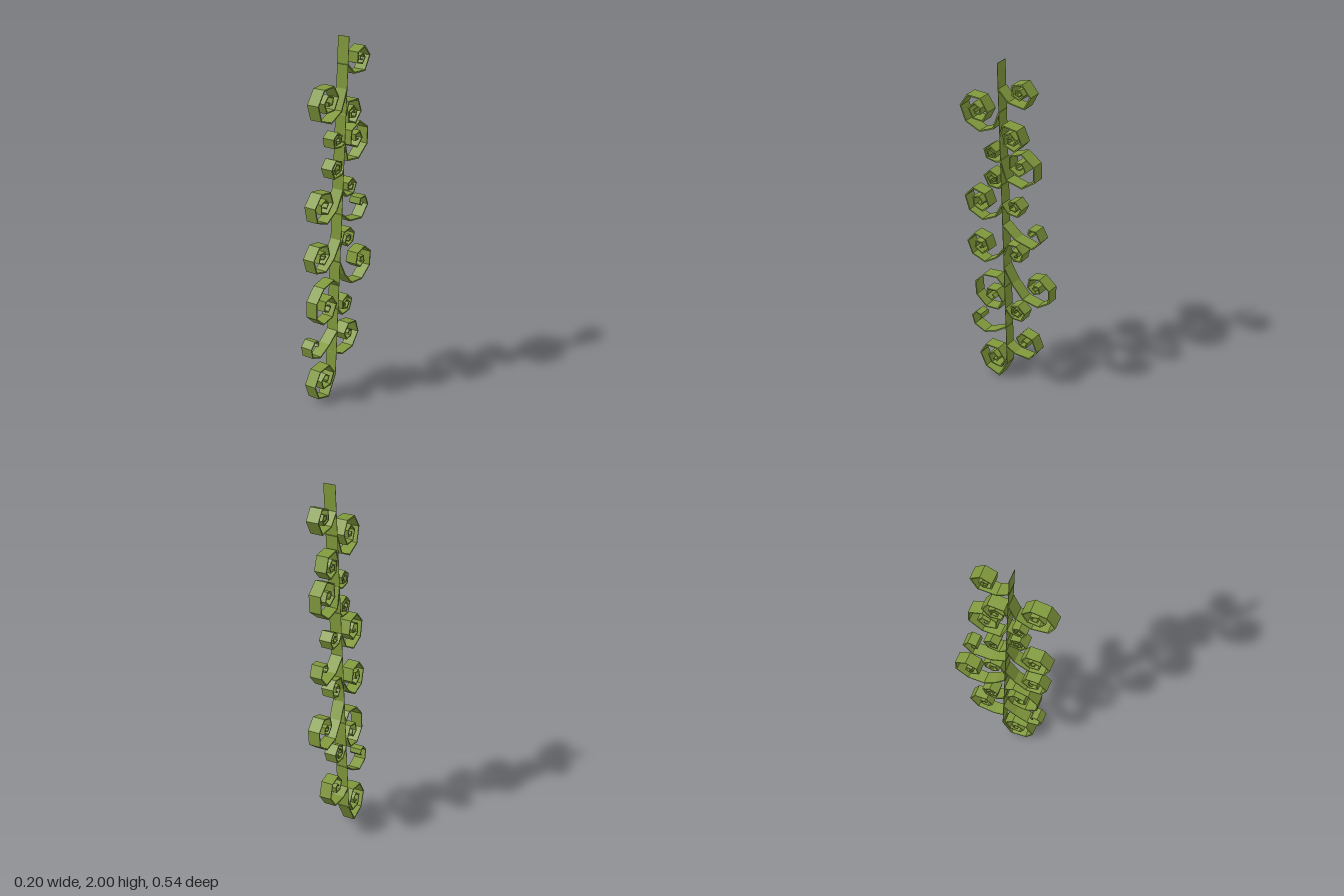
import * as THREE from 'three';

const WIDTH = 0.066;
const rad = THREE.MathUtils.degToRad;

// Ribbon: a flat path thickened with mitred corners, then extruded to the strip width
function ribbon(path, thickness, material, name) {
  const left = [], right = [];
  path.forEach((p, i) => {
    const a = path[Math.max(i - 1, 0)], b = path[Math.min(i + 1, path.length - 1)];
    const inDir = (i > 0 ? p.clone().sub(a) : b.clone().sub(p)).normalize();
    const outDir = (i < path.length - 1 ? b.clone().sub(p) : inDir.clone()).normalize();
    const n = inDir.clone().add(outDir).normalize();
    n.set(-n.y, n.x);
    const cosHalf = Math.max(0.5, Math.abs(n.x * -inDir.y + n.y * inDir.x));
    n.multiplyScalar(thickness / 2 / cosHalf);
    left.push(p.clone().add(n));
    right.unshift(p.clone().sub(n));
  });
  const shape = new THREE.Shape([...left, ...right]);
  const geometry = new THREE.ExtrudeGeometry(shape, { depth: WIDTH, bevelEnabled: false });
  geometry.translate(0, 0, -WIDTH / 2);
  const mesh = new THREE.Mesh(geometry, material);
  mesh.name = name;
  return mesh;
}

// Path of a curl: from the stem, then an angular spiral whose radius shrinks and whose turns sharpen
function curlPath(side, [y0, cu, cy, r0, a0, s0, s1, n, power]) {
  const points = [new THREE.Vector2(0, y0)];
  const r1 = 0.013;
  let angle = a0;
  for (let i = 0; i <= n; i++) {
    const t = i / n;
    const r = r1 + (r0 - r1) * Math.pow(1 - t, power);
    const u = cu + r * Math.cos(rad(angle));
    points.push(new THREE.Vector2(side * u, cy + r * Math.sin(rad(angle))));
    angle += s0 + (s1 - s0) * t;
  }
  return points;
}

// Each curl: stem height, centre (outward, up), start radius, start angle,
// first and last turn in degrees, number of turns, shrink power
const frontCurls = [
  [1.733, 0.140, 1.698, 0.123, 215, 46, 82, 14, 1.15],
  [1.450, 0.058, 1.482, 0.050, 240, 66, 80, 10, 1.2],
  [1.310, 0.055, 1.330, 0.060, 230, 66, 79, 11, 1.2],
  [1.193, 0.147, 1.154, 0.115, 209, 50, 80, 13, 1.15],
  [0.913, 0.152, 0.872, 0.108, 203, 50, 86, 12, 1.15],
  [0.655, 0.088, 0.560, 0.148, 105, -36, -88, 12, 1.25],
  [0.383, 0.180, 0.372, 0.123, 201, 47, 72, 7, 2],
  [0.124, 0.084, 0.124, 0.119, 257, 48, 84, 12, 1.15],
];
const backCurls = [
  [1.860, 0.120, 1.870, 0.091, 227, 66, 78, 11, 1.75],
  [1.595, 0.065, 1.592, 0.083, 122, -62, -78, 12, 1.4],
  [1.458, 0.112, 1.452, 0.130, 232, 46, 90, 12, 1.25],
  [1.193, 0.073, 1.198, 0.060, 230, 66, 80, 9, 1.4],
  [1.061, 0.178, 1.072, 0.122, 216, 58, 88, 7, 2.4],
  [0.870, 0.072, 0.900, 0.066, 131, -52, -82, 9, 1.2],
  [0.790, 0.200, 0.734, 0.154, 192, 40, 88, 13, 1.75],
  [0.516, 0.074, 0.521, 0.062, 240, 64, 79, 10, 1.1],
  [0.250, 0.116, 0.326, 0.120, 240, 50, 84, 10, 1.6],
];

export function createModel() {
  const model = new THREE.Group();
  model.name = 'curlingVine';
  const green = new THREE.MeshStandardMaterial({ color: 0x80993c, flatShading: true });

  const vine = new THREE.Group();
  vine.name = 'vine';
  vine.add(ribbon([new THREE.Vector2(0, 0.12), new THREE.Vector2(0, 2)], 0.002, green, 'stem'));
  frontCurls.forEach((c, i) => vine.add(ribbon(curlPath(-1, c), 0.007, green, `frontCurl${i + 1}`)));
  backCurls.forEach((c, i) => vine.add(ribbon(curlPath(1, c), 0.007, green, `backCurl${i + 1}`)));

  // Stand the flat drawing along z, turned slightly and leaning to the left
  const placement = new THREE.Matrix4().makeBasis(
    new THREE.Vector3(0.17, 0, -1),
    new THREE.Vector3(0.043, 1, 0.005),
    new THREE.Vector3(0.985, 0, 0.17),
  ).setPosition(-0.043, 0, 0.015);
  vine.children.forEach((mesh) => mesh.geometry.applyMatrix4(placement));
  model.add(vine);
  return model;
}
